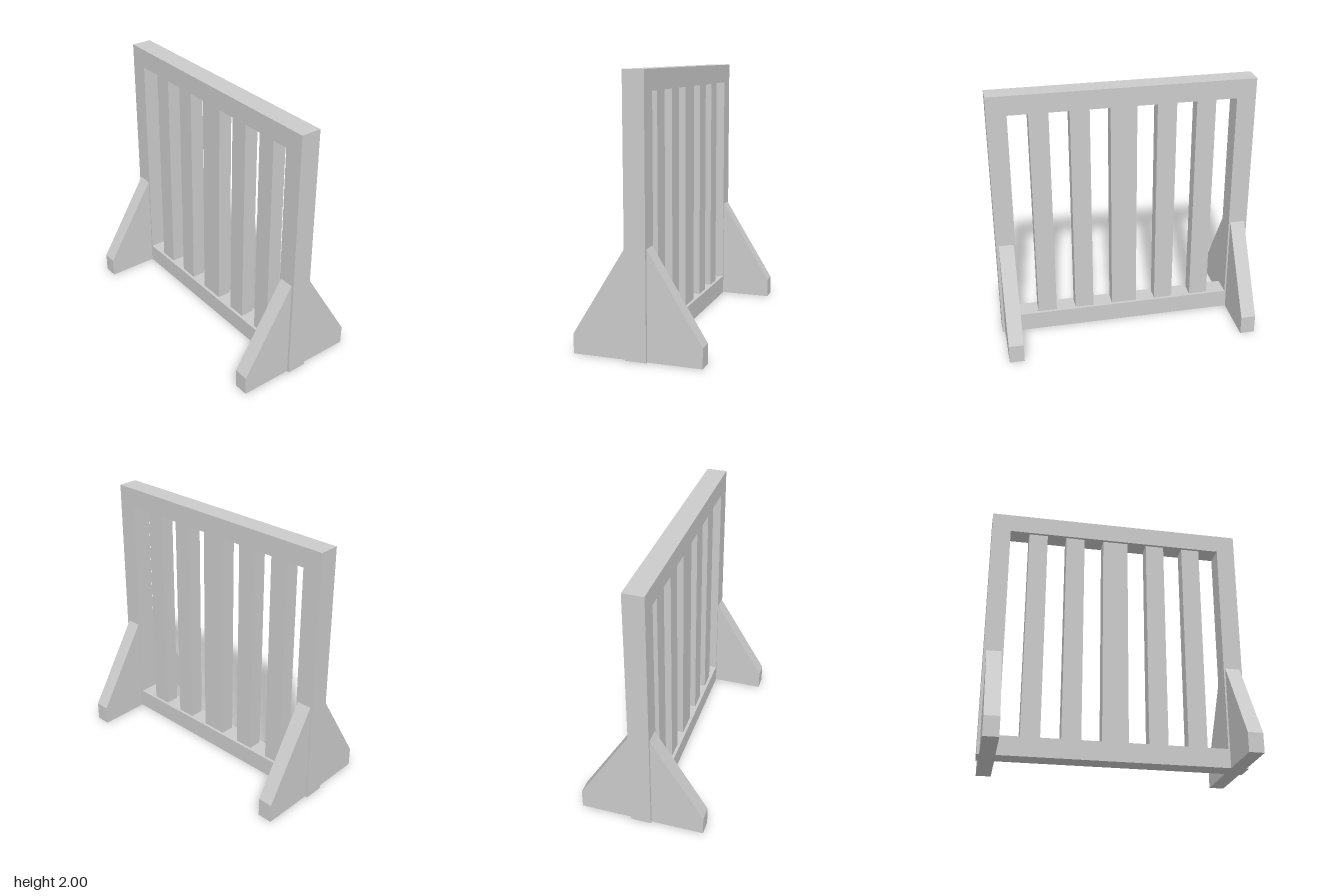
import * as THREE from 'three';

const DEPTH = 0.156, RAIL = 0.147;

export function createModel() {
  const model = new THREE.Group();
  model.name = 'barredPanel';
  const material = new THREE.MeshStandardMaterial({ color: 0xcccccc, flatShading: true });

  const add = (name, geometry, x = 0, y = 0, z = 0) => {
    const mesh = new THREE.Mesh(geometry, material);
    mesh.name = name;
    mesh.position.set(x, y, z);
    model.add(mesh);
    return mesh;
  };
  const polygon = (points) => points.map(([x, y]) => new THREE.Vector2(x, y));
  const extrude = (shape, depth) =>
    new THREE.ExtrudeGeometry(shape, { depth, bevelEnabled: false }).translate(0, 0, -depth / 2);

  // Square frame with one large opening
  const inner = 1 - RAIL;
  const frame = new THREE.Shape(polygon([[-1, 0], [1, 0], [1, 2], [-1, 2]]));
  frame.holes.push(new THREE.Path(polygon([
    [-inner, RAIL], [-inner, 2 - RAIL], [inner, 2 - RAIL], [inner, RAIL],
  ])));
  add('frame', extrude(frame, DEPTH));

  // Upright slats, slightly thinner than the frame, the middle one wider
  const slats = [[-0.627, RAIL], [-0.327, RAIL], [0, 0.2], [0.327, RAIL], [0.627, RAIL]];
  for (const [x, width] of slats) {
    add('slat', new THREE.BoxGeometry(width, 2 - 2 * RAIL, 0.11), x, 1, 0);
  }

  // Sloping feet, in front of and behind each side post
  const foot = extrude(new THREE.Shape(polygon([
    [0, 0], [0.402, 0], [0.402, 0.147], [0, 0.8],
  ])), 0.114);
  for (const side of [-1, 1]) {
    for (const face of [-1, 1]) {
      const name = (face > 0 ? 'front' : 'back') + 'Foot' + (side > 0 ? 'Left' : 'Right');
      const mesh = add(name, foot, side * 0.923, 0, face * DEPTH / 2);
      mesh.rotation.y = -face * Math.PI / 2;
    }
  }
  return model;
}
